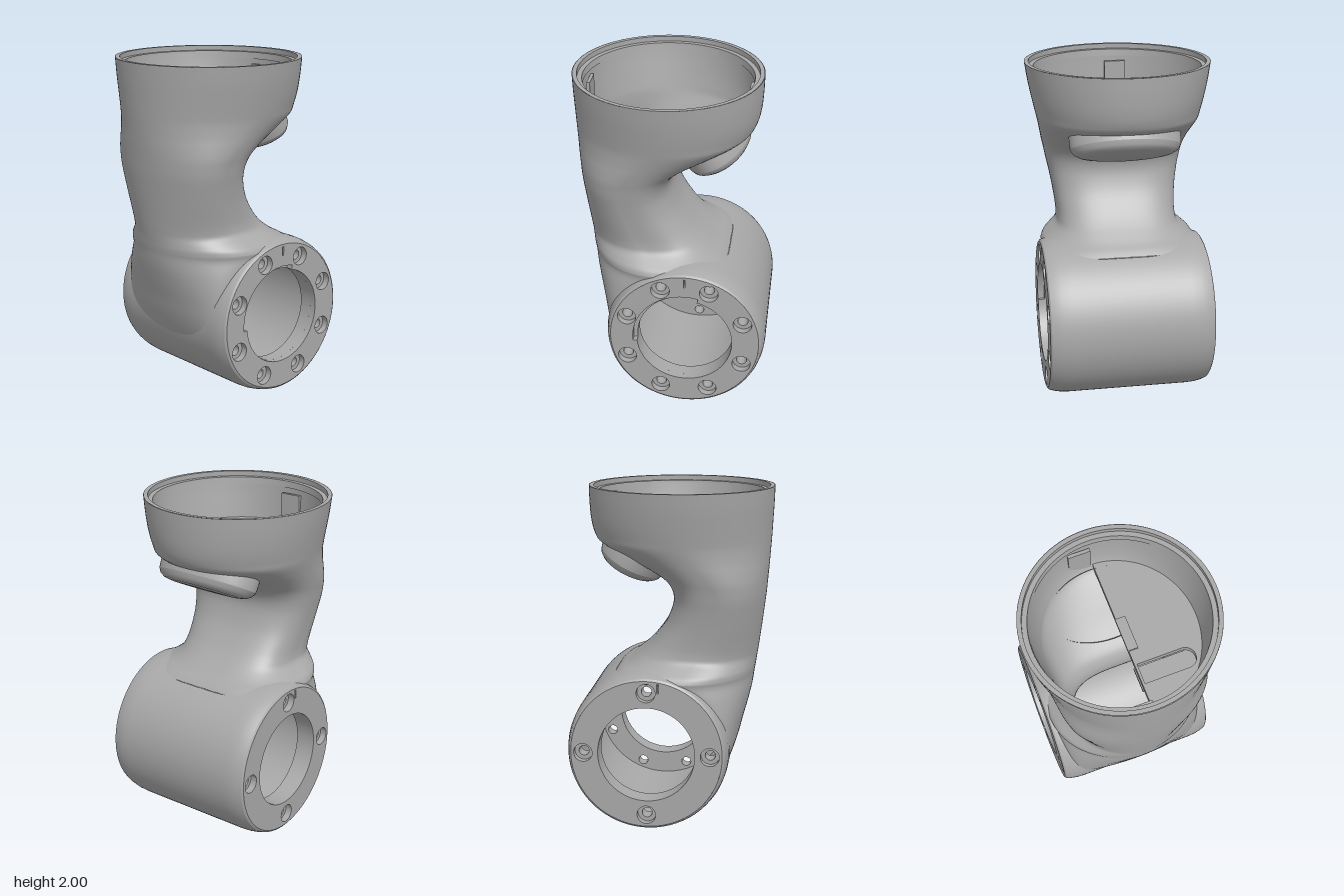
import * as THREE from 'three';
import { toCreasedNormals } from 'three/addons/utils/BufferGeometryUtils.js';

const AX = 0.107, AY = 0.48;   // barrel axis, along z
const CUP = -0.0475;           // centre of the round upper opening

// neck sections: y, left x, right x, half depth, squareness of the right side
const NECK = [
  [2, -0.595, 0.5, 0.545, 2], [1.9, -0.592, 0.498, 0.53, 2], [1.8, -0.587, 0.49, 0.51, 2],
  [1.72, -0.583, 0.47, 0.492, 2], [1.67, -0.58, 0.43, 0.48, 2.1], [1.6, -0.575, 0.3, 0.463, 2.2],
  [1.54, -0.571, 0.17, 0.45, 2.4], [1.48, -0.566, 0.06, 0.437, 2.7], [1.43, -0.562, 0.01, 0.425, 2.9],
  [1.37, -0.557, -0.012, 0.413, 3], [1.3, -0.549, -0.005, 0.398, 3], [1.2, -0.537, 0.035, 0.38, 3],
  [1.1, -0.524, 0.105, 0.367, 3], [1.04, -0.516, 0.16, 0.365, 3], [1, -0.51, 0.205, 0.375, 3],
  [0.96, -0.504, 0.255, 0.42, 3], [0.93, -0.5, 0.3, 0.455, 3.5], [0.9, -0.495, 0.335, 0.47, 4],
];
// heel that runs down behind the barrel: y, left x, half depth
const HEEL = [[0.89, -0.493, 0.467], [0.8, -0.48, 0.45], [0.7, -0.457, 0.435], [0.6, -0.43, 0.42],
  [0.5, -0.405, 0.41], [0.4, -0.372, 0.4], [0.3, -0.325, 0.4], [0.2, -0.25, 0.4]];

// Catmull-Rom subdivision of rows of numbers
function refine(rows, steps) {
  const out = [];
  const at = i => rows[Math.max(0, Math.min(rows.length - 1, i))];
  for (let i = 0; i < rows.length - 1; i++) {
    for (let s = 0; s < steps; s++) {
      const t = s / steps;
      out.push(rows[i].map((p1, k) => {
        const p0 = at(i - 1)[k], p2 = at(i + 1)[k], p3 = at(i + 2)[k];
        return 0.5 * (2 * p1 + (p2 - p0) * t + (2 * p0 - 5 * p1 + 4 * p2 - p3) * t * t
          + (3 * p1 - p0 - 3 * p2 + p3) * t * t * t);
      }));
    }
  }
  out.push(rows[rows.length - 1]);
  return out;
}

// skin over horizontal sections [y, left, right, half depth, squareness, centre]
function loft(sections, inward = false) {
  const N = 96, pos = [], idx = [];
  for (const [y, l, r, w, n, c = (l + r) / 2] of sections) {
    for (let j = 0; j < N; j++) {
      const a = j / N * Math.PI * 2, cs = Math.cos(a), sn = Math.sin(a);
      const e = cs > 0 ? 2 / n : 1;
      const x = c + (cs > 0 ? r - c : l - c) * Math.abs(cs) ** e;
      pos.push(x, y, w * Math.sign(sn) * Math.abs(sn) ** e);
    }
  }
  for (let i = 0; i < sections.length - 1; i++) {
    for (let j = 0; j < N; j++) {
      const k = (j + 1) % N, a = i * N + j, b = i * N + k, c = a + N, d = b + N;
      if (inward) idx.push(a, c, b, b, c, d);
      else idx.push(a, b, c, b, d, c);
    }
  }
  const g = new THREE.BufferGeometry();
  g.setAttribute('position', new THREE.Float32BufferAttribute(pos, 3));
  g.setIndex(idx);
  g.computeVertexNormals();
  return g;
}

const lathe = (pts, seg = 96) => toCreasedNormals(
  new THREE.LatheGeometry(pts.map(p => new THREE.Vector2(...p)), seg), 0.5);

function circle(r, x = 0, y = 0) {
  return new THREE.Path().absarc(x, y, r, 0, Math.PI * 2);
}

export function createModel() {
  const model = new THREE.Group();
  const grey = new THREE.MeshStandardMaterial({ color: 0xa8a8a8, side: THREE.DoubleSide });
  grey.name = 'housing grey';
  const add = (name, geo, parent = model) => {
    const m = new THREE.Mesh(geo, grey);
    m.name = name;
    parent.add(m);
    return m;
  };

  // neck shell with its heel, and the inner wall
  const outer = refine(NECK, 4);
  const heel = refine(HEEL, 4).map(([y, l, w]) => {
    const r = AX - Math.sqrt(0.43 ** 2 - (y - AY) ** 2);
    return [y, l, r, w, 4, Math.min(-0.08, r)];
  });
  add('neckShell', loft([...outer, ...heel]));
  const inner = outer.filter(s => s[0] <= 1.96 && s[0] >= 1)
    .map(([y, l, r, w, n]) => [y, l + 0.05, r - 0.05, w - 0.05, n]);
  add('neckInnerWall', loft(inner, true));

  // stepped rim of the upper opening
  const rim = add('rim', lathe([[0.545, 2], [0.52, 2], [0.52, 1.97], [0.492, 1.97], [0.488, 1.93]]));
  rim.position.x = CUP;

  // half floor inside the cup, with a slot and its pocket
  const floor = new THREE.Shape();
  floor.moveTo(0.43, 0.015);
  floor.lineTo(0.43, 0.1);
  floor.absellipse(CUP, 0, 0.48, 0.455, 0.2, Math.PI - 0.2);
  floor.lineTo(-0.525, 0.015);
  const slot = new THREE.Path();
  slot.moveTo(-0.35, 0.03);
  slot.lineTo(-0.35, 0.29);
  slot.absarc(-0.29, 0.29, 0.06, Math.PI, 0, true);
  slot.lineTo(-0.23, 0.03);
  floor.holes.push(slot);
  const floorGeo = new THREE.ExtrudeGeometry(floor, { depth: 0.04, bevelEnabled: false, curveSegments: 40 });
  add('cupFloor', floorGeo.rotateX(Math.PI / 2)).position.y = 1.72;
  add('slotPocket', new THREE.BoxGeometry(0.14, 0.02, 0.35)).position.set(-0.29, 1.63, 0.19);
  add('floorTab', new THREE.BoxGeometry(0.2, 0.02, 0.06)).position.set(-0.045, 1.722, 0.04);

  // locating ribs on the cup wall
  for (const x of [-0.515, 0.425]) {
    add('locatingRib', new THREE.BoxGeometry(0.02, 0.2, 0.13)).position.set(x, 1.8, -0.06);
  }

  // oval pad under the cup
  const pad = add('ovalPad', lathe([[0, 0.085], [0.7, 0.082], [0.84, 0.074], [0.94, 0.056],
    [0.99, 0.03], [1, 0], [1, -0.06]].reverse(), 64));
  pad.scale.set(0.205, 1, 0.325);
  pad.rotation.z = Math.PI + 0.49;
  pad.position.set(0.235, 1.575, 0);

  // barrel
  const barrel = new THREE.Group();
  barrel.name = 'barrel';
  barrel.position.set(AX, AY, 0);
  model.add(barrel);
  const edge = [[0.478, 0.36], [0.475, 0.41], [0.467, 0.45], [0.457, 0.478], [0.445, 0.487]];
  const mirrored = edge.map(([r, z]) => [r, -z]).reverse();
  add('barrelShell', lathe([...mirrored, ...edge]).rotateX(Math.PI / 2), barrel);
  add('barrelInnerWall', new THREE.CylinderGeometry(0.42, 0.42, 0.74, 72, 1, true).rotateX(Math.PI / 2), barrel);

  // end ring: counterbored screw holes, index slit and bore, in two layers
  function endRing(name, count, turn, slitX, notched) {
    const g = new THREE.Group();
    g.name = name;
    barrel.add(g);
    const layer = (part, radius, holeR, z, depth, face) => {
      const s = new THREE.Shape().absarc(0, 0, radius, 0, Math.PI * 2);
      if (face && notched) {
        const a = 1.31, b = 3.23;
        s.holes.push(new THREE.Path().absarc(0, 0, 0.31, a, b).absarc(0, 0, 0.285, b, a + Math.PI * 2));
      } else s.holes.push(circle(0.285));
      for (let i = 0; i < count; i++) {
        const a = turn + i / count * Math.PI * 2;
        s.holes.push(circle(holeR, 0.373 * Math.cos(a), 0.373 * Math.sin(a)));
      }
      if (face) {
        s.holes.push(new THREE.Path([[-1, 0.375], [1, 0.375], [1, 0.43], [-1, 0.43]]
          .map(([d, y]) => new THREE.Vector2(slitX + d * 0.005, y))));
      }
      const geo = new THREE.ExtrudeGeometry(s, { depth, bevelEnabled: false, curveSegments: 40 });
      add(part, toCreasedNormals(geo, 0.5), g).position.z = z;
    };
    layer('ringFace', 0.445, 0.055, 0.447, 0.04, true);
    layer('ringSeat', 0.43, 0.03, 0.367, 0.08, false);
    return g;
  }
  endRing('frontRing', 8, Math.PI / 8, 0, true);
  endRing('backRing', 4, 0, 0.07, false).rotation.y = Math.PI;

  return model;
}
